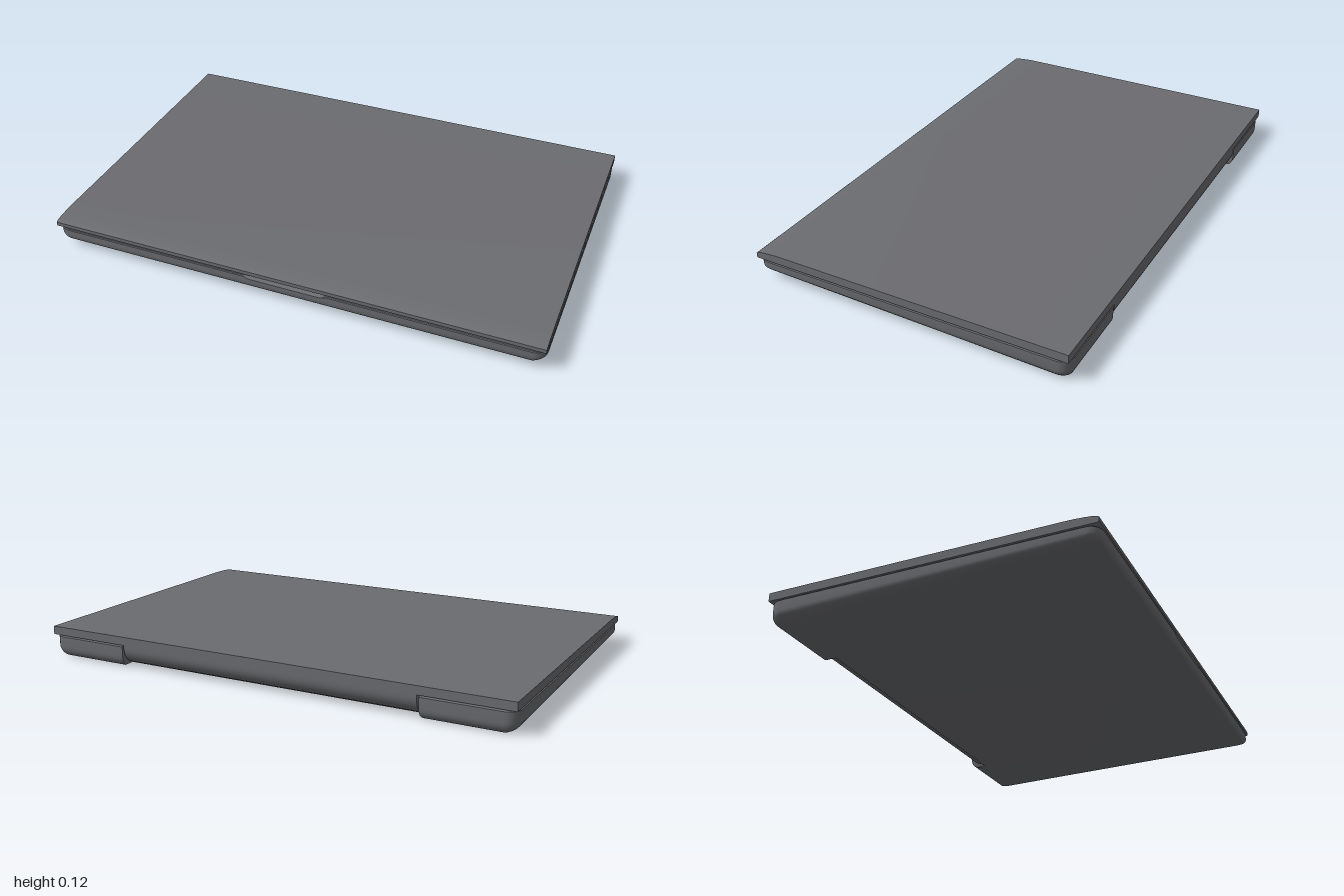
import * as THREE from 'three';
import { toCreasedNormals } from 'three/addons/utils/BufferGeometryUtils.js';

const material = new THREE.MeshStandardMaterial({ color: 0x6b6c70 });
const TOP = 0.087, HX = 1, HZ = 0.65, R = 0.05;

function part(name, geometry, crease = 0.7) {
  const mesh = new THREE.Mesh(toCreasedNormals(geometry, crease), material);
  mesh.name = name;
  return mesh;
}

// Extrudes a (z, y) profile along x, centred
function profileBar(points, width) {
  const shape = new THREE.Shape(points.map(([z, y]) => new THREE.Vector2(z, y)));
  const g = new THREE.ExtrudeGeometry(shape, { depth: width, bevelEnabled: false });
  return g.translate(0, 0, -width / 2).rotateY(-Math.PI / 2);
}

// Plan of the base: each point carries the inward shift of its bottom edge
function baseOutline() {
  const half = [
    { x: 0.145, z: HZ, ix: 0, iz: -0.015, scoop: true },
    { x: 0.17, z: HZ, ix: 0, iz: -0.015 },
  ];
  const corner = (sz, inset) => {
    for (let i = 0; i <= 6; i++) {
      const a = (sz > 0 ? 1 - i / 6 : -i / 6) * Math.PI / 2;
      const c = Math.cos(a), s = Math.sin(a);
      half.push({ x: HX - R + R * c, z: sz * (HZ - R) + R * s, ix: -0.06 * c, iz: -inset * s });
    }
  };
  corner(1, 0.015);
  corner(-1, 0.035);
  // Hinge notch
  half.push({ x: 0.645, z: -HZ, ix: 0.012, iz: 0.035 });
  half.push({ x: 0.645, z: -0.585, ix: 0.012, iz: 0.008 });
  const mirrored = half.map(p => ({ ...p, x: -p.x, ix: -p.ix })).reverse();
  return [...half, ...mirrored];
}

// Wedge-shaped base, built from stacked rings and two caps
function baseGeometry() {
  const outline = baseOutline(), n = outline.length;
  const floorY = z => Math.max(0, 0.029 * (z + 0.615));
  const rings = [];
  for (let i = 0; i <= 7; i++) {
    const a = (i / 7) * Math.PI / 2;
    const inset = 1 - Math.sin(a), lift = 0.5 * (1 - Math.cos(a));
    rings.push(outline.map(p => {
      const z = p.z + p.iz * inset, y = floorY(z);
      return [p.x + p.ix * inset, y + lift * (TOP - y), z];
    }));
  }
  // Upper edge dips at the finger scoop, then an inner ring closes the deck
  rings.push(outline.map(p => [p.x, p.scoop ? 0.076 : TOP - 0.003, p.z]));
  rings.push(outline.map(p => [p.x + p.ix * 0.06, p.scoop ? 0.076 : TOP, p.z + p.iz * 0.2]));
  rings.push(outline.map(p => [p.x + p.ix * 0.4, TOP, p.z + p.iz * 1.6]));

  const index = [];
  for (let r = 0; r < rings.length - 1; r++) {
    for (let i = 0; i < n; i++) {
      const j = (i + 1) % n, a = r * n + i, b = r * n + j;
      index.push(a, b, b + n, a, b + n, a + n);
    }
  }
  const cap = (r, flip) => {
    const contour = rings[r].map(p => new THREE.Vector2(p[0], -p[2]));
    for (const [a, b, c] of THREE.ShapeUtils.triangulateShape(contour, [])) {
      const o = r * n;
      index.push(o + a, o + (flip ? c : b), o + (flip ? b : c));
    }
  };
  cap(0, true);
  cap(rings.length - 1, false);

  const g = new THREE.BufferGeometry();
  g.setAttribute('position', new THREE.Float32BufferAttribute(rings.flat(2), 3));
  g.setIndex(index);
  return g;
}

export function createModel() {
  const model = new THREE.Group();
  model.name = 'closedLaptop';

  model.add(part('base', baseGeometry()));

  // Lid with a softly rolled front edge
  model.add(part('lid', profileBar([
    [-HZ, 0.091], [0.645, 0.091], [HZ, 0.095], [HZ, 0.111], [0.645, 0.115],
    [0.63, 0.119], [0.6, 0.122], [0.56, 0.1245], [0.52, 0.125], [-HZ, 0.125],
  ], 2 * HX)));

  // Recessed seam between lid and base
  const seam = part('seam', new THREE.BoxGeometry(1.94, 0.008, 1.18));
  seam.position.set(0, 0.089, 0.015);
  model.add(seam);

  // Hinge cover curling down from the lid into the notch
  const hinge = [[-0.58, 0.092], [-HZ, 0.092]];
  for (let i = 0; i <= 10; i++) {
    const a = (i / 10) * Math.PI / 2;
    hinge.push([-0.588 - 0.062 * Math.cos(a), 0.08 - 0.068 * Math.sin(a)]);
  }
  hinge.push([-0.58, 0.012]);
  model.add(part('hingeCover', profileBar(hinge, 1.275)));

  return model;
}
